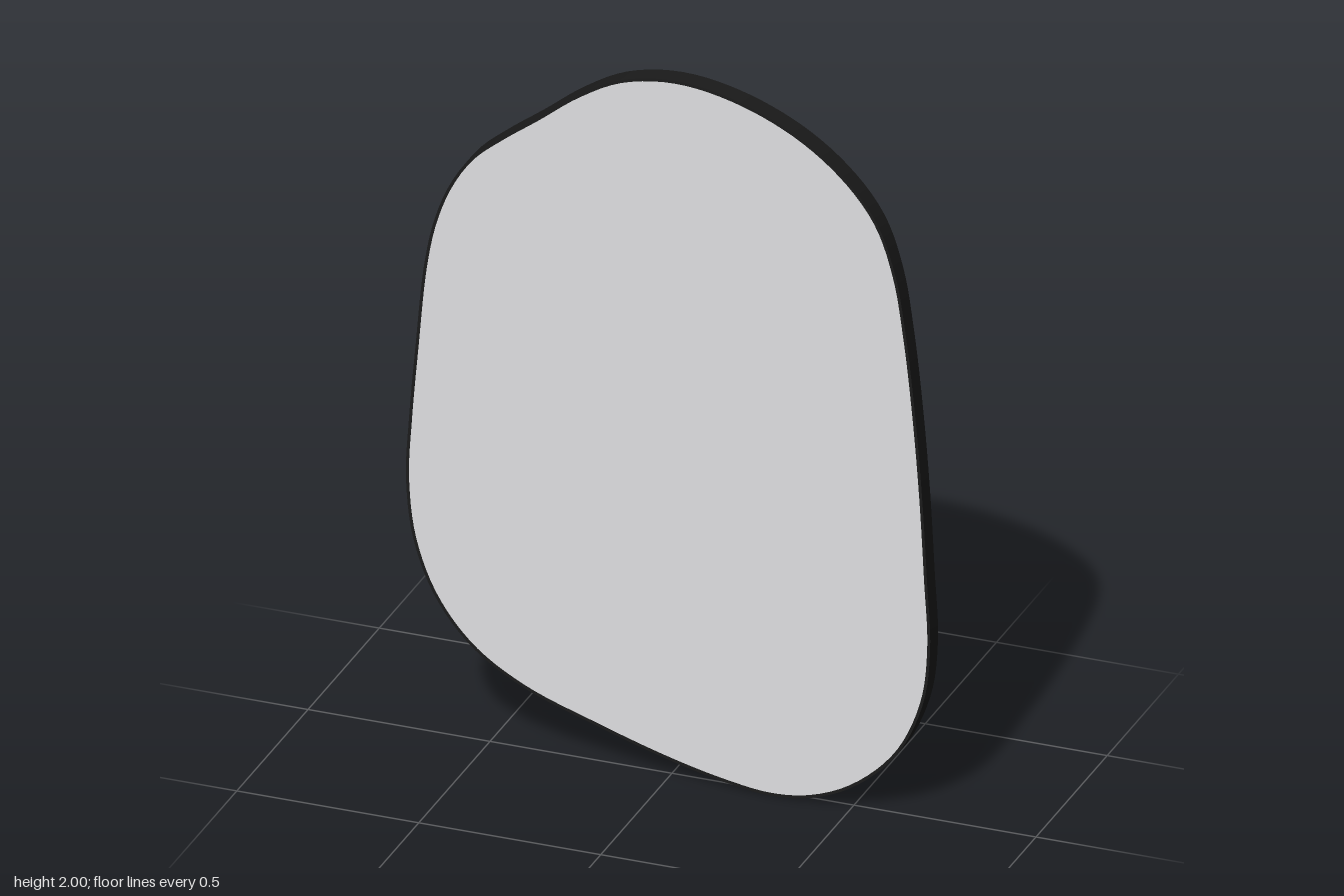
import * as THREE from 'three';
import { toCreasedNormals } from 'three/addons/utils/BufferGeometryUtils.js';

// Clockwise control points of the pebble-shaped outline
const CONTROL = [
  [0.02, 2], [0.19, 1.973], [0.36, 1.9], [0.49, 1.8], [0.575, 1.69], [0.625, 1.55], [0.654, 1.38], [0.679, 1.16], [0.698, 0.93],
  [0.711, 0.7], [0.72, 0.5], [0.7, 0.34], [0.63, 0.185], [0.51, 0.07], [0.39, 0.016], [0.28, 0.003], [0.15, 0.02],
  [0, 0.055], [-0.2, 0.117], [-0.4, 0.19], [-0.54, 0.28], [-0.64, 0.405], [-0.7, 0.56], [-0.72, 0.73], [-0.712, 0.9],
  [-0.695, 1.1], [-0.67, 1.35], [-0.643, 1.48], [-0.6, 1.59], [-0.54, 1.68], [-0.46, 1.75], [-0.36, 1.825], [-0.25, 1.91], [-0.13, 1.975],
];
const SEGMENTS = 180;
const curve = new THREE.CatmullRomCurve3(CONTROL.map(([x, y]) => new THREE.Vector3(x, y, 0)), true);

// Outline moved inward by a constant distance
function outline(inset) {
  const points = [];
  for (let i = 0; i < SEGMENTS; i++) {
    const p = curve.getPointAt(i / SEGMENTS);
    const t = curve.getTangentAt(i / SEGMENTS);
    points.push(new THREE.Vector2(p.x + t.y * inset, p.y - t.x * inset));
  }
  return points;
}

function extrude(shape, z0, z1) {
  const geo = new THREE.ExtrudeGeometry(shape, { depth: z1 - z0, bevelEnabled: false });
  geo.translate(0, 0, z0);
  return toCreasedNormals(geo, 0.6);
}

// Rectangular section swept round the outline
function band(width, halfDepth) {
  const outer = outline(0);
  const inner = outline(width);
  const positions = [];
  const index = [];
  for (let i = 0; i < SEGMENTS; i++) {
    const o = outer[i], n = inner[i];
    positions.push(o.x, o.y, halfDepth, o.x, o.y, -halfDepth, n.x, n.y, -halfDepth, n.x, n.y, halfDepth);
    const next = (i + 1) % SEGMENTS;
    for (let k = 0; k < 4; k++) {
      const a = i * 4 + k, b = i * 4 + (k + 1) % 4;
      const c = next * 4 + (k + 1) % 4, d = next * 4 + k;
      index.push(a, d, c, a, c, b);
    }
  }
  const geo = new THREE.BufferGeometry();
  geo.setAttribute('position', new THREE.Float32BufferAttribute(positions, 3));
  geo.setIndex(index);
  return toCreasedNormals(geo, 0.6);
}

// Square with slightly rounded corners
function roundedSquare(h, r) {
  const s = new THREE.Shape();
  s.absarc(h - r, h - r, r, 0, Math.PI / 2);
  s.absarc(r - h, h - r, r, Math.PI / 2, Math.PI);
  s.absarc(r - h, r - h, r, Math.PI, Math.PI * 1.5);
  s.absarc(h - r, r - h, r, Math.PI * 1.5, Math.PI * 2);
  return s;
}

export function createModel() {
  const black = new THREE.MeshStandardMaterial({ color: 0x1a1a1a });
  black.name = 'black';
  const silver = new THREE.MeshStandardMaterial({ color: 0xdedfe1 });
  silver.name = 'silver grey';

  const model = new THREE.Group();
  model.name = 'wallMirror';
  const add = (parent, name, geo, material) => {
    const mesh = new THREE.Mesh(geo, material);
    mesh.name = name;
    parent.add(mesh);
    return mesh;
  };

  // Thin rim around the full depth
  add(model, 'frame', band(0.008, 0.0275), black);

  // Mirror sheet, whose back shows as a pale ring inside the rim
  add(model, 'mirrorGlass', extrude(new THREE.Shape(outline(0.006)), 0.019, 0.0265), silver);

  // Recessed back panel
  add(model, 'backPanel', extrude(new THREE.Shape(outline(0.06)), 0.005, 0.019), black);

  // Four hanging plates, each with a raised square and a cross-shaped slot
  for (const x of [-0.365, 0.365]) {
    for (const y of [0.48, 1.5]) {
      const hanger = new THREE.Group();
      hanger.name = 'hanger';
      hanger.position.set(x, y, 0);
      add(hanger, 'hangerPlate', extrude(roundedSquare(0.073, 0.008), 0, 0.005), silver);
      add(hanger, 'hangerBoss', extrude(roundedSquare(0.034, 0.002), -0.007, 0), silver);
      add(hanger, 'slotUpright', new THREE.BoxGeometry(0.011, 0.04, 0.001), black).position.z = -0.0072;
      add(hanger, 'slotCross', new THREE.BoxGeometry(0.03, 0.011, 0.001), black).position.z = -0.0074;
      model.add(hanger);
    }
  }
  return model;
}
